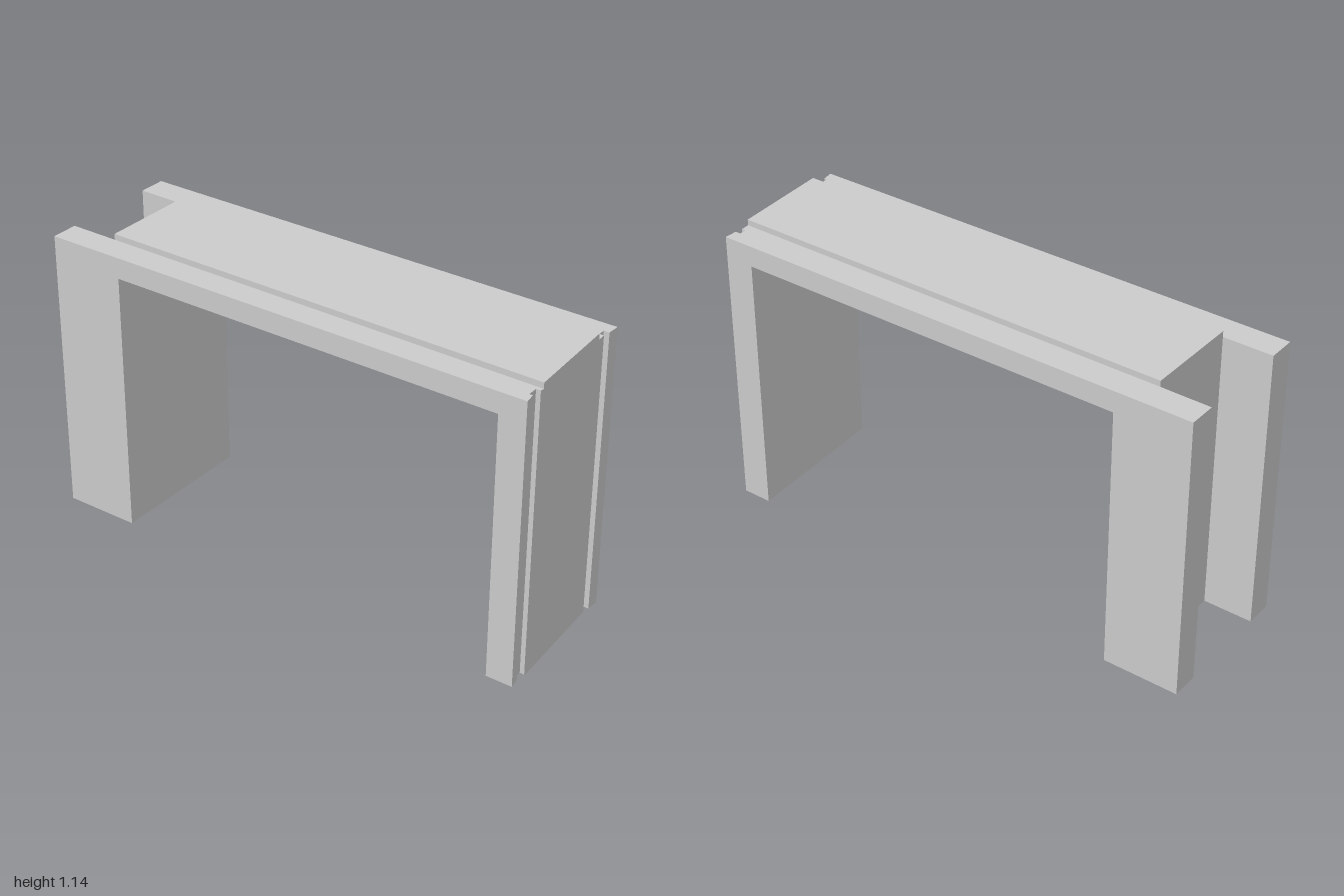
import * as THREE from 'three';

const material = new THREE.MeshStandardMaterial({ color: 0xcccccc, flatShading: true });

// Prism with a plan outline of [x, z] points, from y0 up to y1
function prism(name, plan, y0, y1) {
  const shape = new THREE.Shape(plan.map(([x, z]) => new THREE.Vector2(x, -z)));
  const geometry = new THREE.ExtrudeGeometry(shape, { depth: y1 - y0, bevelEnabled: false });
  geometry.rotateX(-Math.PI / 2).translate(0, y0, 0);
  const mesh = new THREE.Mesh(geometry, material);
  mesh.name = name;
  return mesh;
}

export function createModel() {
  const group = new THREE.Group();
  group.name = 'portalFrame';
  const underside = 1.04, deckTop = 1.122, panelTop = 1.145;

  // Slightly skewed outer end with two vertical grooves, front to back
  const groovedEnd = [
    [1.0, 0.298], [0.993, 0.255], [0.98, 0.255], [0.98, 0.215], [0.998, 0.215],
    [1.0, 0.2], [0.977, -0.187],
    [0.975, -0.222], [0.958, -0.222], [0.958, -0.25], [0.98, -0.25], [0.982, -0.3],
  ];
  // Slot open at the opposite end, back to front
  const slottedEnd = [
    [-1, -0.3], [-1, -0.192], [-0.805, -0.19], [-0.805, 0.189], [-1, 0.188], [-1, 0.296],
  ];

  // Legs
  group.add(prism('slottedLeg', [...slottedEnd, [-0.7, 0.296], [-0.7, -0.3]], 0, underside));
  group.add(prism('groovedLeg', [...groovedEnd, [0.865, -0.3], [0.895, 0.298]], 0, underside));

  // Deck spanning both legs, with a raised panel on top
  group.add(prism('deck', [...groovedEnd, ...slottedEnd], underside, deckTop));
  group.add(prism('raisedPanel',
    [[-0.805, 0.189], [1.0, 0.2], [0.977, -0.187], [-0.805, -0.19]], deckTop, panelTop));
  return group;
}
